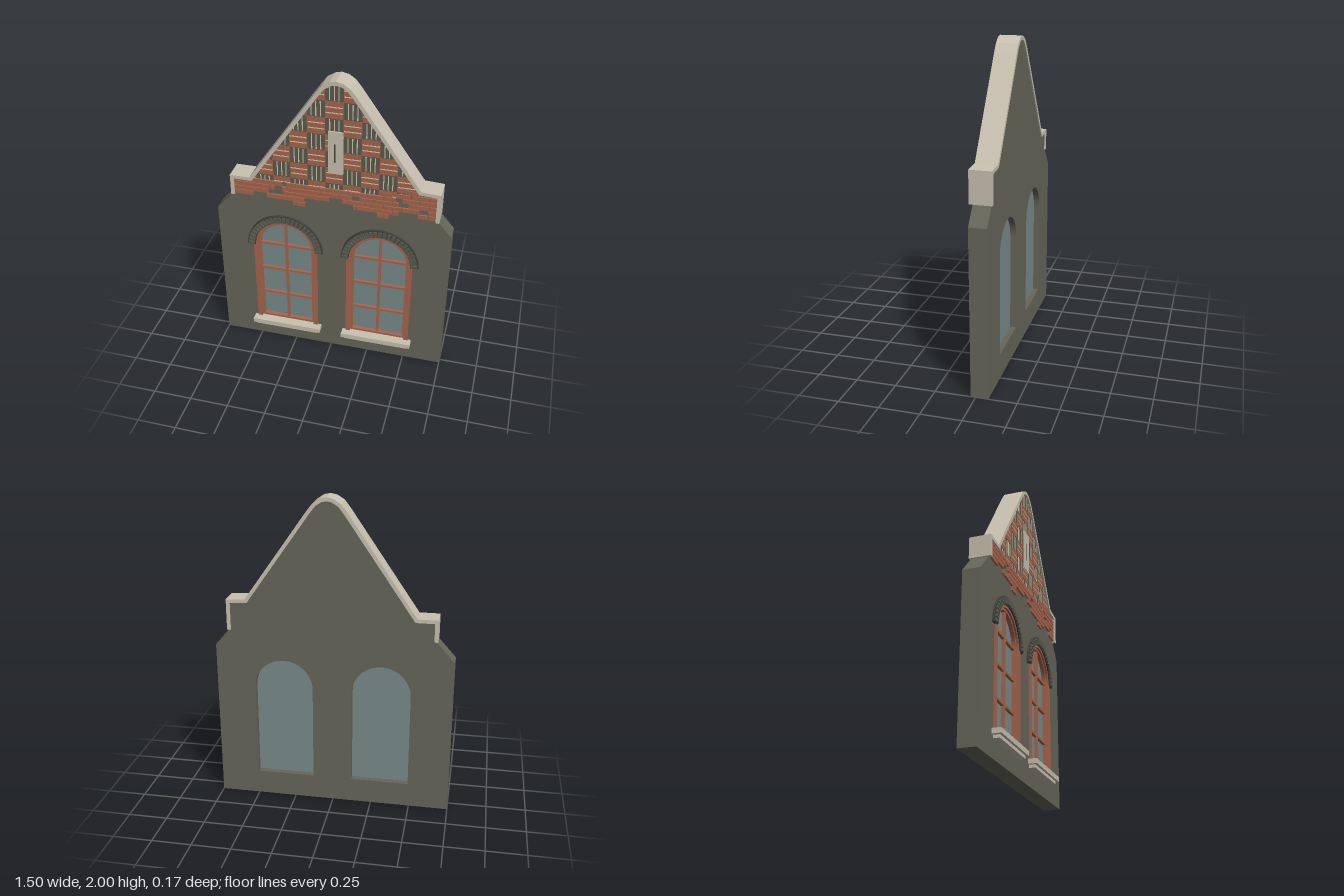
import * as THREE from 'three';
import { mergeGeometries } from 'three/addons/utils/BufferGeometryUtils.js';

const mat = (name, color) => new THREE.MeshStandardMaterial({ name, color });

// Geometry helpers
const box = (x0, x1, y0, y1, z0, z1) =>
  new THREE.BoxGeometry(x1 - x0, y1 - y0, z1 - z0).toNonIndexed()
    .translate((x0 + x1) / 2, (y0 + y1) / 2, (z0 + z1) / 2);
const slab = (shape, z0, z1) =>
  new THREE.ExtrudeGeometry(shape, { depth: z1 - z0, bevelEnabled: false, curveSegments: 20 }).translate(0, 0, z0);
const polygon = pts => new THREE.Shape(pts.map(p => new THREE.Vector2(p[0], p[1])));

// Round-headed opening
function archPath(path, cx, r, y0, spring) {
  path.moveTo(cx - r, y0);
  path.lineTo(cx + r, y0);
  path.lineTo(cx + r, spring);
  path.absarc(cx, spring, r, 0, Math.PI, false);
  path.lineTo(cx - r, y0);
  return path;
}

// Half ring over an opening
function halfRing(cx, cy, r0, r1) {
  const s = new THREE.Shape();
  s.absarc(cx, cy, r1, 0, Math.PI, false);
  s.absarc(cx, cy, r0, Math.PI, 0, true);
  s.closePath();
  return s;
}

// Mitred inward offset of an open line that runs left to right over the gable
function inset(pts, d) {
  const normal = (a, b) => {
    const l = Math.hypot(b[0] - a[0], b[1] - a[1]);
    return [(b[1] - a[1]) / l, -(b[0] - a[0]) / l];
  };
  const last = pts.length - 1;
  return pts.map((p, i) => {
    const n0 = normal(pts[Math.max(i - 1, 0)], pts[Math.max(i, 1)]);
    const n1 = normal(pts[Math.min(i, last - 1)], pts[Math.min(i + 1, last)]);
    const k = d / (1 + n0[0] * n1[0] + n0[1] * n1[1]);
    return [p[0] + (n0[0] + n1[0]) * k, p[1] + (n0[1] + n1[1]) * k];
  });
}

// Clip a convex polygon to a convex, clockwise region
function clip(poly, region) {
  region.forEach((a, i) => {
    const b = region[(i + 1) % region.length];
    const side = p => (b[1] - a[1]) * (p[0] - a[0]) - (b[0] - a[0]) * (p[1] - a[1]);
    const out = [];
    poly.forEach((p, j) => {
      const q = poly[(j + 1) % poly.length], sp = side(p), sq = side(q);
      if (sp >= 0) out.push(p);
      if (sp * sq < 0) {
        const t = sp / (sp - sq);
        out.push([p[0] + (q[0] - p[0]) * t, p[1] + (q[1] - p[1]) * t]);
      }
    });
    poly = out;
  });
  return poly;
}

export function createModel() {
  const model = new THREE.Group();
  model.name = 'gabledFacade';
  const plaster = mat('dark plaster', 0x66665a);
  const stone = mat('pale stone', 0xcac2b2);
  const red = mat('red brick', 0xa9664f);
  const dark = mat('dark brick', 0x5b5c50);
  const soot = mat('arch joints', 0x42423c);
  const mortar = mat('cream mortar', 0xd2c8ac);
  const glassMat = mat('glass', 0x7a8b8b);
  const add = (name, material, geos, parent = model) => {
    const m = new THREE.Mesh(mergeGeometries([].concat(geos)), material);
    m.name = name;
    parent.add(m);
  };

  // Gable outline, left foot to right foot
  const outline = [
    [-0.643, 1.15], [-0.643, 1.29], [-0.515, 1.29], [-0.087, 1.915], [-0.05, 1.963], [-0.005, 1.991],
    [0.034, 2], [0.075, 1.991], [0.117, 1.963], [0.155, 1.915], [0.55, 1.355], [0.67, 1.348], [0.67, 1.15],
  ];
  const inner = inset(outline, 0.023);
  add('coping', stone, slab(polygon([...outline, ...inner.slice().reverse()]), -0.086, 0.05));

  // Wall with two arched openings
  const windows = [-0.305, 0.315], spring = 0.777, sillY = 0.16;
  const wall = polygon([[-0.75, 0], [-0.75, 1.02], ...inset(outline, 0.01), [0.75, 1.045], [0.75, 0]]);
  windows.forEach(cx => wall.holes.push(archPath(new THREE.Path(), cx, 0.185, sillY, spring)));
  add('wall', plaster, slab(wall, -0.078, 0.03));

  // Basket-weave brickwork, trimmed to the gable
  const slopeAt = (a, b, y) => [a[0] + (b[0] - a[0]) * (y - a[1]) / (b[1] - a[1]), y];
  const region = [
    slopeAt(inner[2], inner[3], 1.285), ...inner.slice(3, 10), slopeAt(inner[9], inner[10], 1.285),
  ];
  const reds = [], darks = [], joints = [];
  const put = (list, x0, x1, y0, y1, z) => {
    const p = clip([[x0, y0], [x1, y0], [x1, y1], [x0, y1]], region);
    if (p.length > 2) list.push(slab(polygon(p), 0.029, z));
  };
  const cell = 0.1095;
  for (let row = 0; row < 7; row++) {
    for (let col = -5; col <= 5; col++) {
      const x = 0.021 + (col - 0.5) * cell, y = 1.98 - (row + 1) * cell;
      if ((row + col) % 2 !== 0) {
        put(reds, x, x + cell, y, y + cell, 0.038);
        for (const k of [1, 2]) {
          const jy = y + k * cell / 3;
          put(joints, x + 0.004, x + cell - 0.004, jy - 0.003, jy + 0.003, 0.04);
        }
      } else {
        put(darks, x, x + cell, y, y + cell, 0.036);
        for (const k of [1, 2, 3]) {
          const jx = x + k * cell / 4;
          put(joints, jx - 0.003, jx + 0.003, y + 0.006, y + cell - 0.006, 0.038);
        }
      }
    }
  }
  add('redWeave', red, reds);
  add('darkWeave', dark, darks);
  add('weaveJoints', mortar, joints);

  // Weathered courses below: [base height, runs of brick]
  const courses = [
    [1.315, [[0.47, 0.55]]],
    [1.285, [[0.3, 0.38], [0.4, 0.645]]],
    [1.253, [[-0.62, -0.31], [-0.28, 0.4], [0.44, 0.645]]],
    [1.221, [[-0.62, -0.36], [-0.31, 0.13], [0.18, 0.42], [0.48, 0.645]]],
    [1.189, [[-0.62, -0.4], [-0.3, -0.01], [0.07, 0.55], [0.6, 0.645]]],
    [1.157, [[-0.62, -0.49], [-0.41, -0.16], [0.14, 0.42], [0.54, 0.645]]],
    [1.125, [[-0.24, -0.165], [0.29, 0.36]]],
  ];
  const bricks = [];
  courses.forEach(([y, runs], i) => runs.forEach(([a, b]) => {
    const shift = (i % 2) * 0.055;
    for (let k = Math.floor((a + shift) / 0.11); k * 0.11 - shift < b; k++) {
      const x0 = Math.max(a, k * 0.11 - shift);
      const x1 = Math.min(b, (k + 1) * 0.11 - shift - 0.005);
      if (x1 - x0 > 0.008) bricks.push(box(x0, x1, y, y + 0.028, 0.028, 0.042));
    }
  }));
  add('weatheredCourses', red, bricks);

  // Slit vent in the gable
  add('ventPlate', stone, box(-0.014, 0.077, 1.4, 1.68, 0.028, 0.045));
  add('ventSlit', soot, box(0.023, 0.029, 1.475, 1.6, 0.04, 0.047));

  // Windows
  windows.forEach((cx, i) => {
    const g = new THREE.Group();
    g.name = i ? 'leftWindow' : 'rightWindow';
    model.add(g);
    add('glass', glassMat, slab(archPath(new THREE.Shape(), cx, 0.186, sillY, spring), -0.04, 0), g);

    const frame = archPath(new THREE.Shape(), cx, 0.186, sillY, spring);
    frame.holes.push(archPath(new THREE.Path(), cx, 0.17, sillY + 0.016, spring));
    const bars = [0.37, 0.577, 0.78].map(y => box(cx - 0.172, cx + 0.172, y - 0.008, y + 0.008, -0.005, 0.018));
    add('frameAndBars', red, [
      slab(frame, -0.005, 0.025), ...bars,
      box(cx - 0.008, cx + 0.008, sillY + 0.01, spring + 0.172, -0.005, 0.02),
    ], g);

    // Brick jambs and inner arch
    add('jambs', red, [
      box(cx - 0.213, cx - 0.183, sillY, spring, 0.02, 0.041),
      box(cx + 0.183, cx + 0.213, sillY, spring, 0.02, 0.041),
      slab(halfRing(cx, spring, 0.183, 0.2), 0.02, 0.038),
    ], g);

    // Arch of radial bricks
    add('archRing', soot, slab(halfRing(cx, spring, 0.198, 0.25), 0.025, 0.046), g);
    const stones = [];
    for (let k = 0; k < 25; k++) {
      const a = (k + 0.5) / 25 * Math.PI;
      stones.push(box(0.203, 0.242, -0.0105, 0.0105, 0.03, 0.054).rotateZ(a).translate(cx, spring, 0));
    }
    add('archBricks', dark, stones, g);

    // Stepped sill
    add('sill', stone, [
      box(cx - 0.235, cx + 0.235, 0.13, 0.161, 0.01, 0.086),
      box(cx - 0.214, cx + 0.214, 0.11, 0.13, 0.01, 0.07),
    ], g);
  });
  return model;
}
